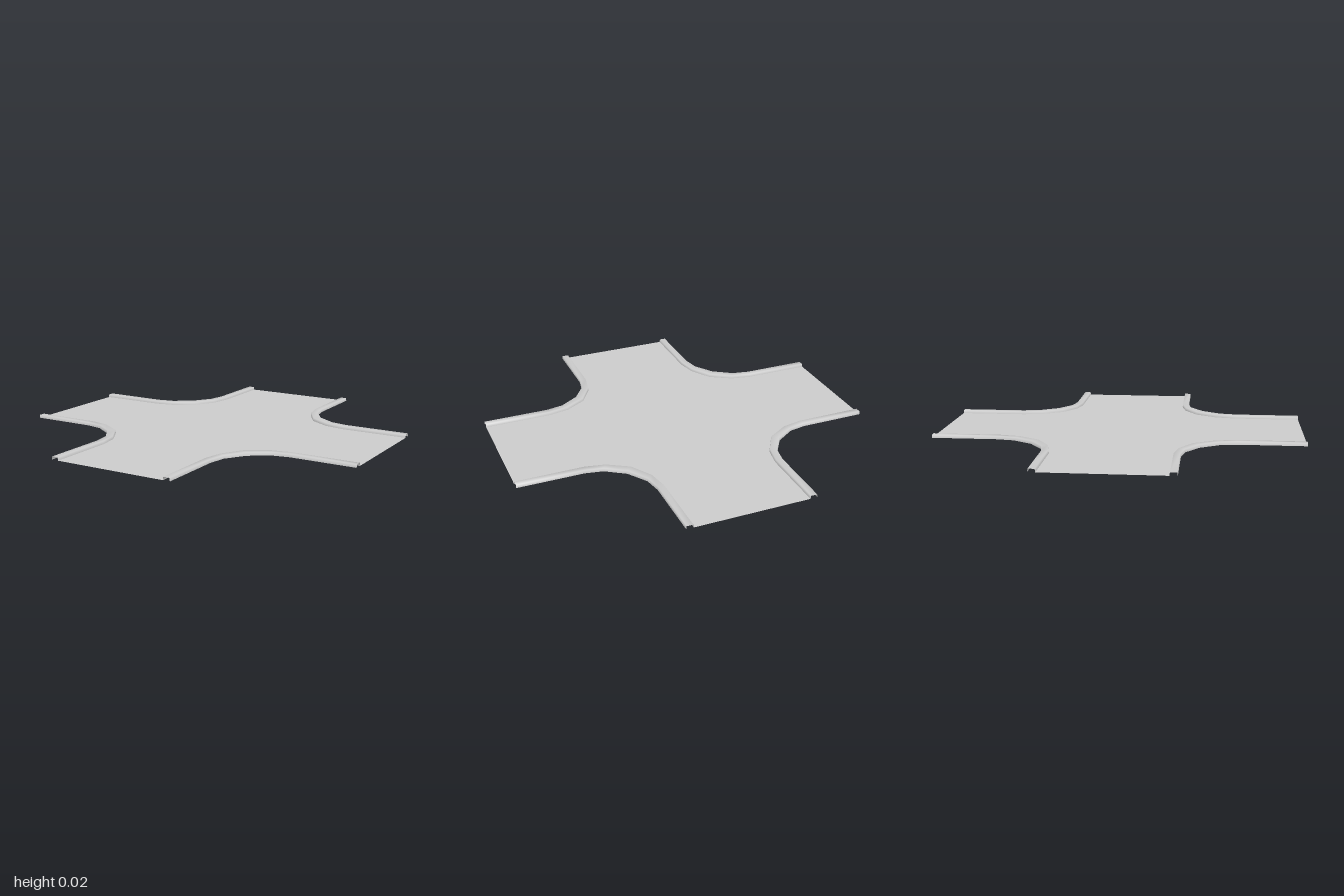
import * as THREE from 'three';

// Kerb edges around one corner, [x, z], running from the +x arm to the +z arm
const INNER = mirrorDiagonal([[1, 0.313], [0.63, 0.313], [0.52, 0.335], [0.405, 0.405]]);
const OUTER = mirrorDiagonal([[1, 0.352], [0.64, 0.352], [0.545, 0.37], [0.44, 0.44]]);

// Kerb section: fraction across from inner to outer edge, height
const SECTION = [[0, 0], [0.06, 0.017], [0.94, 0.017], [1, 0]];

function mirrorDiagonal(half) {
  return [...half, ...half.slice(0, -1).reverse().map(([x, z]) => [z, x])];
}

// Sweeps the section along the corner between its inner and outer edges
function kerbGeometry() {
  const positions = [], index = [], n = SECTION.length;
  INNER.forEach(([x, z], i) => {
    const [ox, oz] = OUTER[i];
    for (const [t, y] of SECTION) positions.push(x + (ox - x) * t, y, z + (oz - z) * t);
  });
  for (let i = 0; i < INNER.length - 1; i++) {
    for (let j = 0; j < n - 1; j++) {
      const a = i * n + j, b = a + n;
      index.push(a, b, a + 1, b, b + 1, a + 1);
    }
  }
  const geometry = new THREE.BufferGeometry();
  geometry.setAttribute('position', new THREE.Float32BufferAttribute(positions, 3));
  geometry.setIndex(index);
  geometry.computeVertexNormals();
  return geometry;
}

// Flat cross-shaped surface bounded by the inner kerb edges
function roadGeometry() {
  const outline = [];
  for (let k = 0; k < 4; k++) {
    for (const [x, y] of INNER) {
      outline.push(new THREE.Vector2(x, y).rotateAround(new THREE.Vector2(), k * Math.PI / 2));
    }
  }
  return new THREE.ShapeGeometry(new THREE.Shape(outline)).rotateX(-Math.PI / 2);
}

export function createModel() {
  const group = new THREE.Group();
  group.name = 'roadCrossing';
  const material = new THREE.MeshStandardMaterial({ color: 0xcccccc, side: THREE.DoubleSide });

  const road = new THREE.Mesh(roadGeometry(), material);
  road.name = 'roadSurface';
  group.add(road);

  // One kerb in each of the four corners
  const geometry = kerbGeometry();
  ['frontLeft', 'backLeft', 'backRight', 'frontRight'].forEach((corner, k) => {
    const kerb = new THREE.Mesh(geometry, material);
    kerb.name = corner + 'Kerb';
    kerb.rotation.y = k * Math.PI / 2;
    group.add(kerb);
  });
  return group;
}
